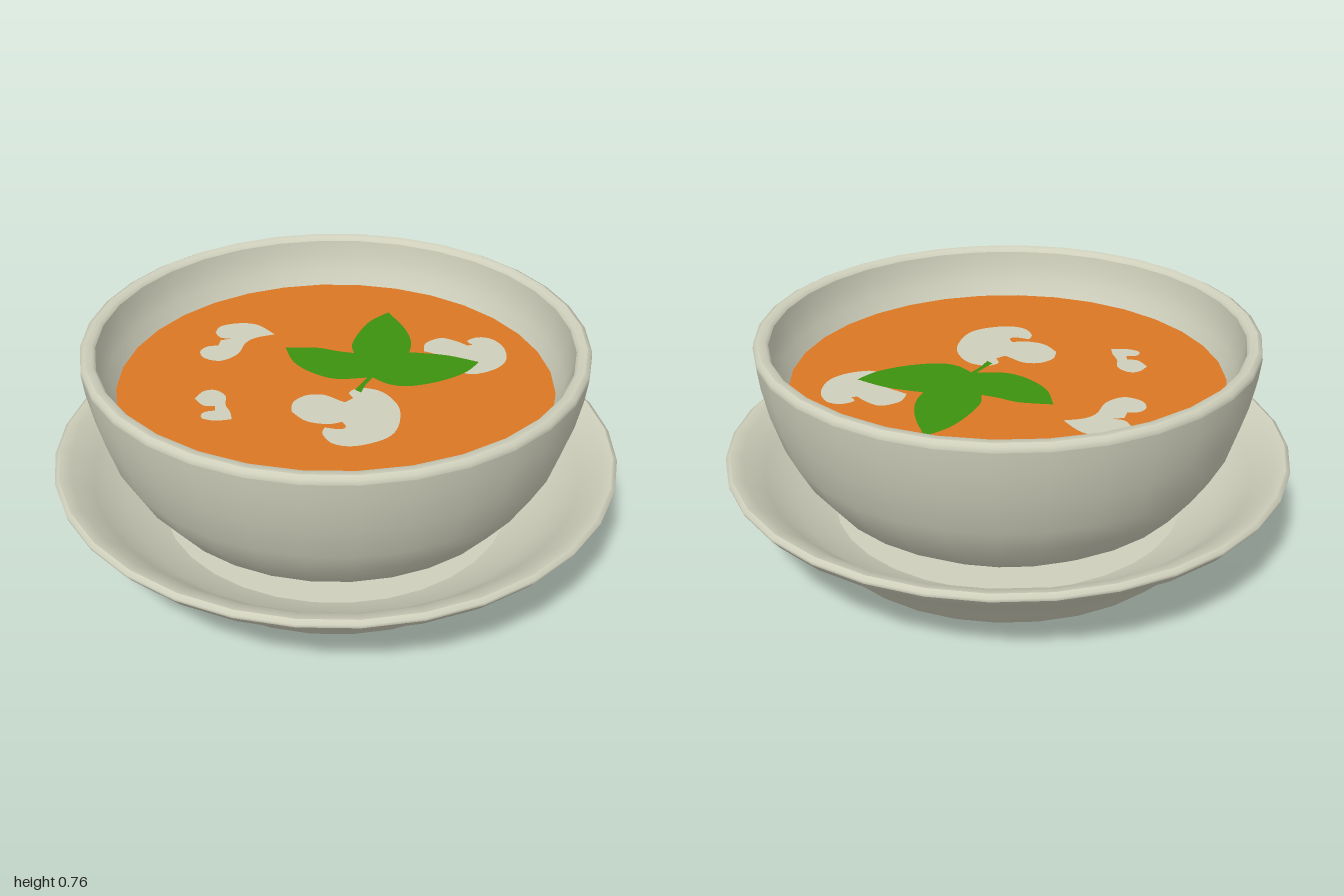
import * as THREE from 'three';
import { mergeGeometries } from 'three/addons/utils/BufferGeometryUtils.js';

const cream = new THREE.MeshStandardMaterial({ color: 0xcfcfbc });
const orange = new THREE.MeshStandardMaterial({ color: 0xdb7724 });
const green = new THREE.MeshStandardMaterial({ color: 0x3e9210 });
cream.name = 'creamCeramic';
orange.name = 'orangeSoup';
green.name = 'leafGreen';

const SIDES = 32;
const SOUP_Y = 0.58;

const vectors = (pts) => pts.map(([x, y]) => new THREE.Vector2(x, y));

// Each run is a smooth stretch of the profile; runs meet at sharp edges.
function turned(name, runs) {
  const parts = runs.map((run) => new THREE.LatheGeometry(vectors(run), SIDES));
  const mesh = new THREE.Mesh(mergeGeometries(parts), cream);
  mesh.name = name;
  return mesh;
}

// Flat garnish: each run is a curve in (x, z) that ends at the sharp start of the next run.
function garnish(name, material, y, runs) {
  const outline = [];
  runs.forEach((run, i) => {
    const next = runs[(i + 1) % runs.length][0];
    const curve = new THREE.SplineCurve(vectors([...run, next].map(([x, z]) => [x, -z])));
    outline.push(...curve.getPoints(run.length * 5).slice(0, -1));
  });
  const geometry = new THREE.ShapeGeometry(new THREE.Shape(outline));
  geometry.rotateX(-Math.PI / 2);
  const mesh = new THREE.Mesh(geometry, material);
  mesh.position.y = y;
  mesh.name = name;
  return mesh;
}

export function createModel() {
  const model = new THREE.Group();
  model.name = 'bowlOfSoup';

  // Saucer: base, flared outside, rim, sloping inside, floor
  model.add(turned('saucer', [
    [[0, 0], [0.665, 0]],
    [[0.665, 0], [0.685, 0.012], [0.77, 0.1], [0.865, 0.2], [0.97, 0.275], [0.998, 0.31]],
    [[0.998, 0.31], [1, 0.322], [0.985, 0.332]],
    [[0.985, 0.332], [0.945, 0.322], [0.87, 0.26], [0.76, 0.16], [0.63, 0.1]],
    [[0.63, 0.1], [0, 0.1]],
  ]));

  // Bowl: round outside, bevelled rim, inside wall down past the soup
  model.add(turned('bowl', [
    [[0, 0.09], [0.45, 0.1], [0.57, 0.15], [0.67, 0.22], [0.75, 0.325], [0.8, 0.42],
      [0.84, 0.55], [0.862, 0.66], [0.87, 0.735]],
    [[0.87, 0.735], [0.868, 0.752], [0.853, 0.76]],
    [[0.853, 0.76], [0.828, 0.758], [0.818, 0.745]],
    [[0.818, 0.745], [0.81, 0.69], [0.79, 0.63], [0.757, 0.57]],
  ]));

  // Soup surface
  const soup = new THREE.Mesh(new THREE.CircleGeometry(0.765, SIDES), orange);
  soup.rotation.x = -Math.PI / 2;
  soup.position.y = SOUP_Y;
  soup.name = 'soup';
  model.add(soup);

  // Mushroom slices
  const slices = [
    [
      [[-0.42, -0.38], [-0.4, -0.43], [-0.33, -0.45], [-0.26, -0.43]],
      [[-0.2, -0.35], [-0.27, -0.33], [-0.31, -0.29], [-0.34, -0.21], [-0.4, -0.165],
        [-0.46, -0.19], [-0.475, -0.24], [-0.45, -0.275]],
      [[-0.41, -0.28]], [[-0.4, -0.32]], [[-0.36, -0.33], [-0.4, -0.34]],
    ],
    [
      [[-0.49, 0.09], [-0.46, 0.045], [-0.42, 0.04], [-0.385, 0.08], [-0.385, 0.14], [-0.37, 0.19]],
      [[-0.365, 0.235], [-0.42, 0.24], [-0.465, 0.22], [-0.46, 0.185]],
      [[-0.42, 0.175]], [[-0.42, 0.145], [-0.46, 0.14]],
    ],
    [
      [[-0.165, 0.2], [-0.155, 0.14], [-0.11, 0.1], [-0.05, 0.1], [0, 0.14]],
      [[0.02, 0.155]],
      [[0.05, 0.13], [0.04, 0.09], [0.08, 0.065], [0.14, 0.085], [0.18, 0.14], [0.2, 0.22],
        [0.18, 0.33], [0.13, 0.395], [0.03, 0.43], [-0.04, 0.41], [-0.07, 0.35]],
      [[-0.06, 0.31], [-0.01, 0.325], [0.01, 0.31]],
      [[0, 0.28], [-0.05, 0.29], [-0.12, 0.265]],
    ],
    [
      [[0.335, -0.18], [0.35, -0.24], [0.41, -0.275], [0.46, -0.25]],
      [[0.5, -0.21]],
      [[0.52, -0.215], [0.505, -0.245], [0.55, -0.27], [0.6, -0.25], [0.63, -0.18],
        [0.62, -0.09], [0.57, -0.03], [0.49, 0]],
      [[0.44, -0.02]], [[0.46, -0.1], [0.4, -0.14]],
    ],
  ];
  slices.forEach((runs, i) => model.add(garnish(`mushroomSlice${i + 1}`, cream, SOUP_Y + 0.003, runs)));

  // Three-leaf herb sprig with a short stem
  model.add(garnish('herbSprig', green, SOUP_Y + 0.006, [
    [[0.24, -0.49], [0.285, -0.36], [0.297, -0.25]],
    [[0.28, -0.17], [0.33, -0.16], [0.42, -0.135]],
    [[0.52, -0.08], [0.46, -0.01], [0.36, 0.045], [0.25, 0.07], [0.18, 0.05]],
    [[0.13, 0], [0.1, 0.05]],
    [[0.08, 0.1]],
    [[0.06, 0.08]],
    [[0.11, 0], [0, 0], [-0.08, -0.05], [-0.14, -0.13]],
    [[-0.165, -0.24], [-0.05, -0.23], [0.02, -0.2]],
    [[0.08, -0.18], [0.08, -0.25], [0.12, -0.35], [0.17, -0.43]],
  ]));

  return model;
}
